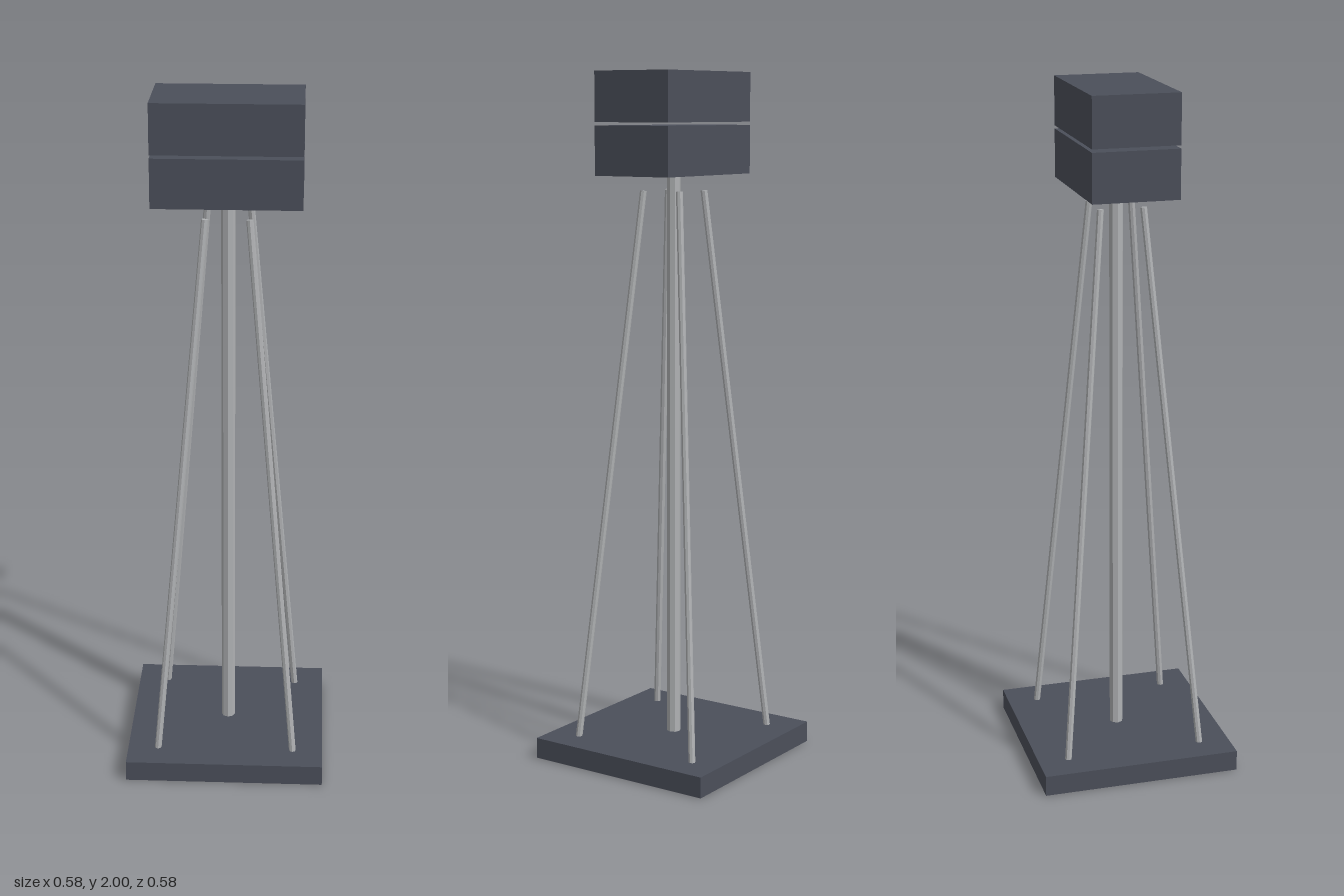
import * as THREE from 'three';

const darkPaint = new THREE.MeshStandardMaterial({ color: 0x4b4f5a });
darkPaint.name = 'dark slate';
const steel = new THREE.MeshStandardMaterial({ color: 0xb0b2b4, flatShading: true });
steel.name = 'light steel';

// Box standing between two heights, centred on the axis
function slab(name, width, depth, bottom, top) {
  const mesh = new THREE.Mesh(new THREE.BoxGeometry(width, top - bottom, depth), darkPaint);
  mesh.name = name;
  mesh.position.y = (bottom + top) / 2;
  return mesh;
}

// Eight-sided rod between two points
function rod(name, from, to, radius) {
  const along = to.clone().sub(from);
  const mesh = new THREE.Mesh(new THREE.CylinderGeometry(radius, radius, along.length(), 8), steel);
  mesh.name = name;
  mesh.position.copy(from).add(to).multiplyScalar(0.5);
  mesh.quaternion.setFromUnitVectors(new THREE.Vector3(0, 1, 0), along.normalize());
  return mesh;
}

export function createModel() {
  const model = new THREE.Group();
  model.name = 'towerStand';

  // Square base plate
  model.add(slab('basePlate', 0.582, 0.582, 0.002, 0.063));

  // Two stacked head blocks with a narrow open gap
  model.add(slab('lowerBlock', 0.416, 0.248, 1.711, 1.85));
  model.add(slab('upperBlock', 0.416, 0.248, 1.859, 2));

  // Central pole, showing at the underside of the base
  model.add(rod('centrePole', new THREE.Vector3(0, 0, 0), new THREE.Vector3(0, 1.715, 0), 0.02));

  // Four struts leaning in towards the pole
  for (const x of [-1, 1]) {
    for (const z of [-1, 1]) {
      const foot = new THREE.Vector3(0.207 * x, 0.001, 0.207 * z);
      const tip = new THREE.Vector3(0.062 * x, 1.666, 0.062 * z);
      model.add(rod(`${z > 0 ? 'front' : 'back'}${x > 0 ? 'Left' : 'Right'}Strut`, foot, tip, 0.01));
    }
  }
  return model;
}
